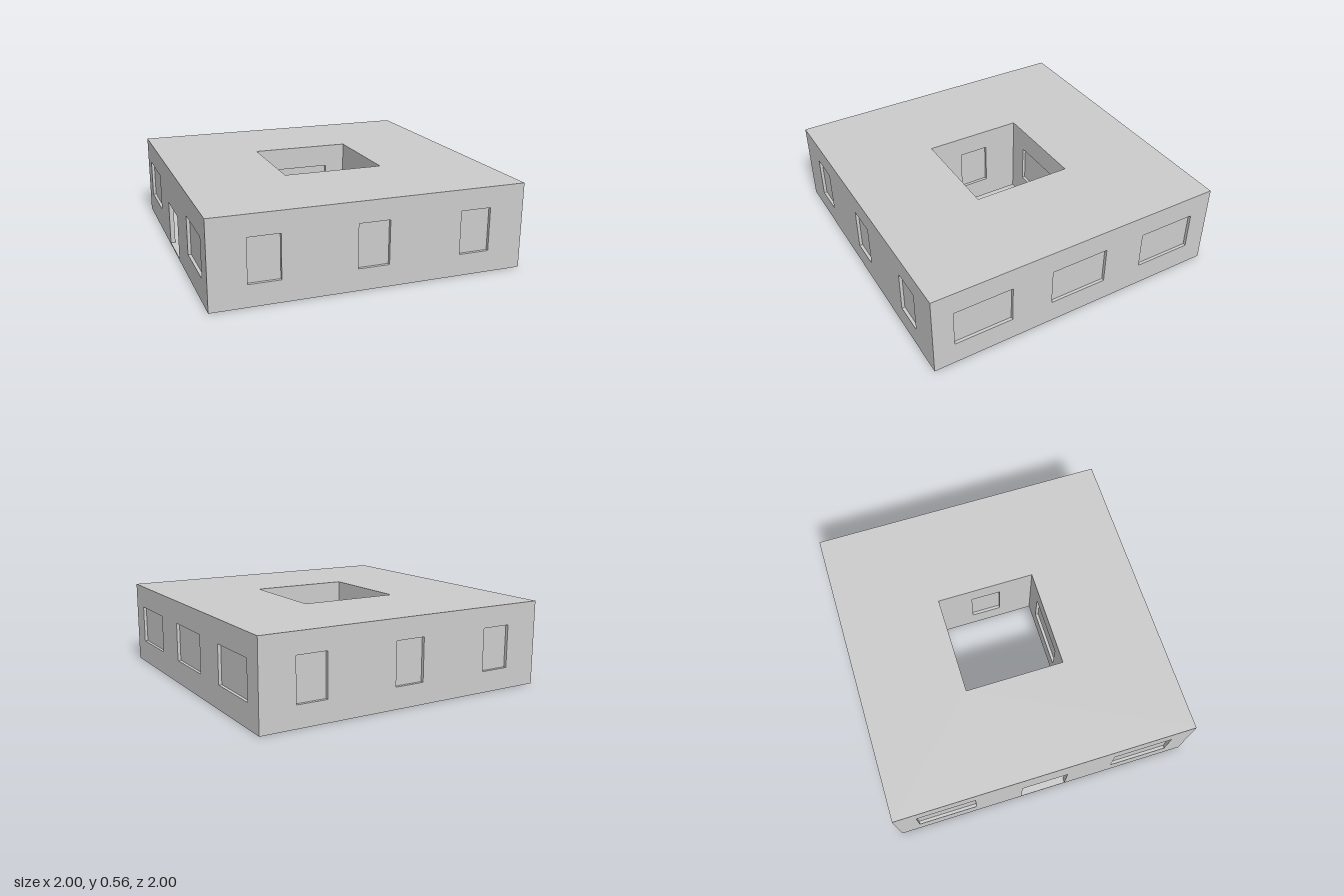
import * as THREE from 'three';

const H = 0.555;     // overall height
const SLAB = 0.01;   // floor and roof thickness
const T = 0.03;      // wall thickness
const RECESS = 0.02; // how far panes sit behind the wall face
const YARD = 0.33;   // half width of the courtyard

const material = new THREE.MeshStandardMaterial({ color: 0xcccccc, flatShading: true });

const tall = (x) => ({ x, w: 0.2, y0: 0.14, y1: 0.42 });
const wide = (x) => ({ x, w: 0.39, y0: 0.155, y1: 0.405 });

function addMesh(parent, name, geometry) {
  const mesh = new THREE.Mesh(geometry, material);
  mesh.name = name;
  parent.add(mesh);
  return mesh;
}

function trace(path, points) {
  points.forEach(([x, y], i) => (i ? path.lineTo(x, y) : path.moveTo(x, y)));
  path.closePath();
  return path;
}

const square = (h) => [[-h, -h], [h, -h], [h, h], [-h, h]];

// Square slab with the courtyard cut out of it
function slab(parent, name, y) {
  const shape = trace(new THREE.Shape(), square(1));
  shape.holes.push(trace(new THREE.Path(), square(YARD).reverse()));
  const geometry = new THREE.ExtrudeGeometry(shape, { depth: SLAB, bevelEnabled: false });
  geometry.rotateX(-Math.PI / 2);
  addMesh(parent, name, geometry).position.y = y;
}

// Wall whose visible face is turned by angle and lies dist from the centre
function wall(parent, name, { length, angle, dist, windows, door }) {
  const group = new THREE.Group();
  group.name = name;
  const l = length / 2, y0 = SLAB, y1 = H - SLAB;
  const outline = [[-l, y0]];
  if (door) {
    const d = door.w / 2;
    outline.push([-d, y0], [-d, door.h], [d, door.h], [d, y0]);
  }
  outline.push([l, y0], [l, y1], [-l, y1]);
  const shape = trace(new THREE.Shape(), outline);

  for (const o of windows) {
    const a = o.x - o.w / 2, b = o.x + o.w / 2;
    shape.holes.push(trace(new THREE.Path(), [[a, o.y0], [a, o.y1], [b, o.y1], [b, o.y0]]));
    const depth = T - RECESS;
    const pane = addMesh(group, 'windowPane', new THREE.BoxGeometry(o.w, o.y1 - o.y0, depth));
    pane.position.set(o.x, (o.y0 + o.y1) / 2, -RECESS - depth / 2);
  }
  const geometry = new THREE.ExtrudeGeometry(shape, { depth: T, bevelEnabled: false });
  geometry.translate(0, 0, -T);
  addMesh(group, 'wallPanel', geometry);

  group.rotation.y = angle;
  group.position.set(Math.sin(angle) * dist, 0, Math.cos(angle) * dist);
  parent.add(group);
}

export function createModel() {
  const model = new THREE.Group();
  model.name = 'courtyardBuilding';

  slab(model, 'floor', 0);
  slab(model, 'roof', H - SLAB);

  // Outer walls: tall windows front and back, wide ones on the sides
  const talls = [-0.67, 0, 0.67].map(tall);
  const wides = [-0.667, 0, 0.667].map(wide);
  const side = 2 - 2 * T;
  wall(model, 'frontWall', { length: 2, angle: 0, dist: 1, windows: talls });
  wall(model, 'backWall', { length: 2, angle: Math.PI, dist: 1, windows: talls });
  wall(model, 'leftWall', { length: side, angle: Math.PI / 2, dist: 1, windows: wides });
  // The right wall has an open doorway in place of the middle window
  wall(model, 'rightWall', {
    length: side, angle: -Math.PI / 2, dist: 1,
    windows: [wides[0], wides[2]], door: { w: 0.31, h: 0.3 },
  });

  // Courtyard walls, facing inwards with one window each
  for (const s of [0, 1]) {
    wall(model, 'courtyardWall', {
      length: 2 * (YARD + T), angle: s * Math.PI, dist: -YARD, windows: [wide(0)],
    });
    wall(model, 'courtyardSideWall', {
      length: 2 * YARD, angle: Math.PI / 2 + s * Math.PI, dist: -YARD, windows: [tall(0)],
    });
  }
  return model;
}
